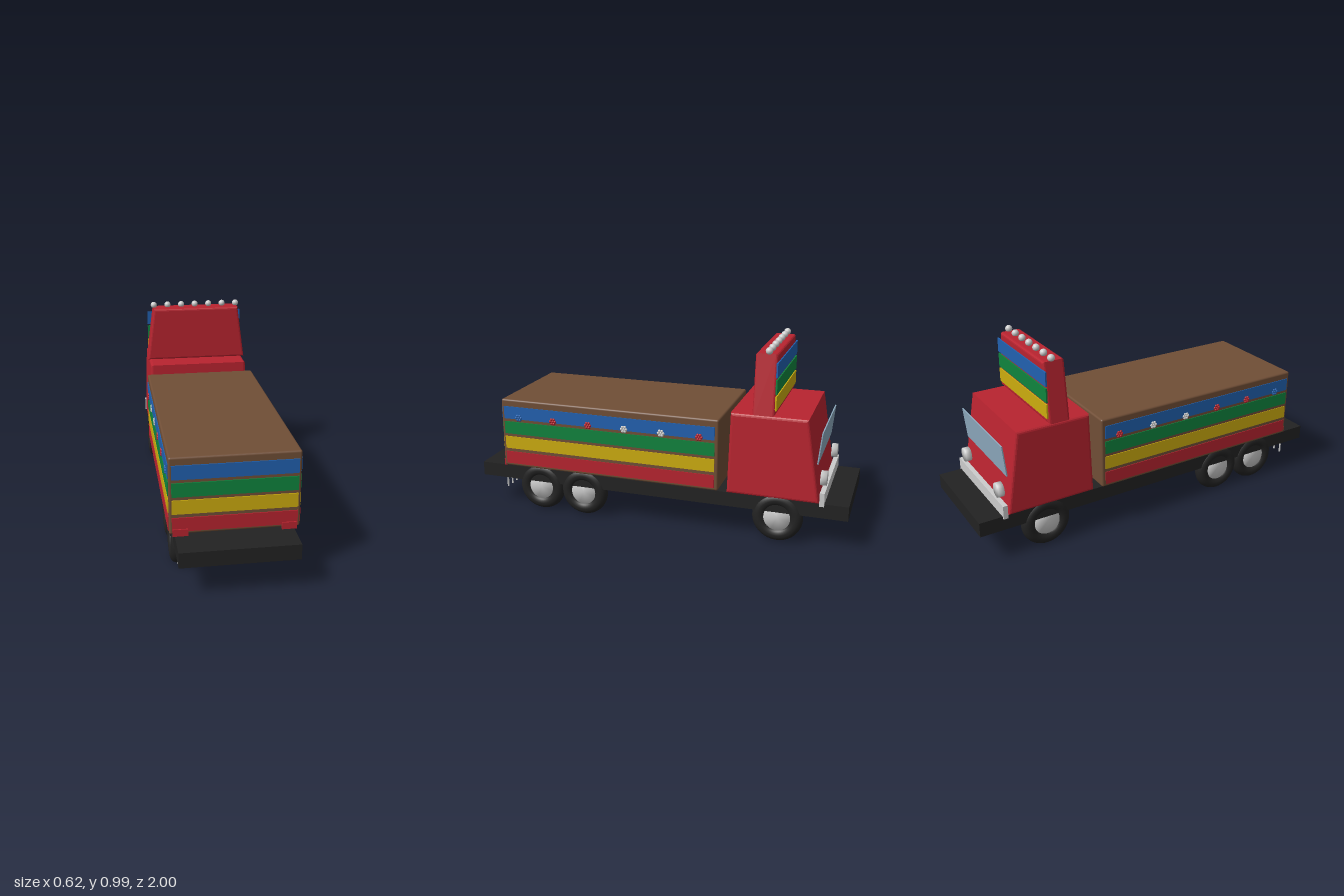
import * as THREE from 'three';
import { RoundedBoxGeometry } from 'three/addons/geometries/RoundedBoxGeometry.js';
import { mergeVertices } from 'three/addons/utils/BufferGeometryUtils.js';

const paint = (name, color, side = THREE.FrontSide) => {
  const m = new THREE.MeshStandardMaterial({ color, side });
  m.name = name;
  return m;
};

// Disc along z whose rim and faces share normals, for a domed sheen
function softDisc(radius, depth) {
  const g = new THREE.CylinderGeometry(radius, radius, depth, 32).rotateX(Math.PI / 2);
  g.deleteAttribute('normal');
  g.deleteAttribute('uv');
  const merged = mergeVertices(g);
  merged.computeVertexNormals();
  return merged;
}

// Bevelled slab from an outline, centred on its depth
function bevelled(points, depth, bevel) {
  const shape = new THREE.Shape(points.map(([x, y]) => new THREE.Vector2(x, y)));
  const g = new THREE.ExtrudeGeometry(shape, {
    depth: depth - 2 * bevel, bevelEnabled: true, bevelThickness: bevel,
    bevelSize: bevel, bevelOffset: -bevel, bevelSegments: 3,
  });
  return g.translate(0, 0, -depth / 2 + bevel);
}

export function createModel() {
  const model = new THREE.Group();
  model.name = 'truck';
  const red = paint('red', 0xb8232f);
  const blue = paint('blue', 0x2161b0);
  const green = paint('green', 0x0f843e);
  const yellow = paint('yellow', 0xcdac0e);
  const brown = paint('brown', 0x704e36);
  const black = paint('black', 0x222222);
  const silver = paint('silver', 0xcccccc);
  const glass = paint('glass', 0x8fabc0, THREE.DoubleSide);

  const add = (name, geometry, material, x = 0, y = 0, z = 0, parent = model) => {
    const mesh = new THREE.Mesh(geometry, material);
    mesh.name = name;
    mesh.position.set(x, y, z);
    parent.add(mesh);
    return mesh;
  };
  const box = (w, h, d) => new THREE.BoxGeometry(w, h, d);

  // Chassis and cargo body
  add('chassis', box(0.55, 0.075, 2), black, 0, 0.197, 0);
  add('cargoBody', new RoundedBoxGeometry(0.6, 0.375, 1.2, 3, 0.01), brown, 0, 0.432, 0.25);

  // Painted stripes on the sides and rear of the cargo body
  [[red, 0.294], [yellow, 0.38], [green, 0.464], [blue, 0.548]].forEach(([mat, y]) => {
    for (const s of [-1, 1]) add('sideStripe', box(0.008, 0.068, 1.165), mat, s * 0.3, y, 0.252);
    add('rearStripe', box(0.575, 0.068, 0.008), mat, 0, y, 0.851);
  });

  // Flower ornaments along both sides
  const flowerColors = [red, silver, silver, red, red, blue];
  const petal = new THREE.SphereGeometry(0.008, 10, 8);
  for (const s of [-1, 1]) {
    flowerColors.forEach((mat, i) => {
      const flower = new THREE.Group();
      flower.name = 'flower';
      flower.position.set(s * 0.302, 0.522, -0.25 + i * 0.2);
      add('flowerCentre', petal, mat, 0, 0, 0, flower);
      for (let k = 0; k < 6; k++) {
        const a = (k * Math.PI) / 3;
        add('flowerPetal', petal, mat, 0, 0.013 * Math.sin(a), 0.013 * Math.cos(a), flower);
      }
      model.add(flower);
    });
  }

  // Cab: side outline swept across, narrowing slightly upwards
  const cab = bevelled([[0.39, 0.235], [0.855, 0.235], [0.785, 0.655], [0.4, 0.655]], 0.57, 0.014);
  cab.rotateY(Math.PI / 2);
  const p = cab.attributes.position;
  for (let i = 0; i < p.count; i++) {
    p.setX(i, p.getX(i) * (1 - 0.035 * (p.getY(i) - 0.235) / 0.42));
  }
  cab.computeVertexNormals();
  add('cab', cab, red);

  // Headboard over the cab with stripes on its leading face
  const board = bevelled([[-0.285, 0.658], [0.285, 0.658], [0.245, 0.957], [-0.245, 0.957]], 0.11, 0.012);
  add('headboard', board, red, 0, 0, -0.565);
  [[yellow, 0.72], [green, 0.801], [blue, 0.883]].forEach(([mat, y]) =>
    add('headboardStripe', box(0.55, 0.072, 0.008), mat, 0, y, -0.622));

  // Row of roof lamps
  const lamp = new THREE.SphereGeometry(0.018, 20, 14);
  for (let i = -3; i <= 3; i++) add('roofLamp', lamp, silver, i * 0.08, 0.97, -0.575);

  // Windscreen, headlights and bumper
  add('windscreen', box(0.5, 0.162, 0.006), glass, 0, 0.508, -0.842).rotation.x = -0.1;
  const headlight = softDisc(0.037, 0.03);
  for (const s of [-1, 1]) add('headlight', headlight, silver, s * 0.21, 0.347, -0.865);
  add('bumper', box(0.575, 0.07, 0.024), silver, 0, 0.26, -0.869);

  // Wheels: torus tyres with silver hubs
  const tyre = new THREE.TorusGeometry(0.094, 0.035, 20, 40);
  const hub = softDisc(0.072, 0.046);
  for (const z of [-0.65, 0.4, 0.65]) {
    for (const s of [-1, 1]) {
      const wheel = new THREE.Group();
      wheel.name = 'wheel';
      wheel.position.set(s * 0.25, 0.13, z);
      wheel.rotation.y = Math.PI / 2;
      add('tyre', tyre, black, 0, 0, 0, wheel);
      add('hub', hub, silver, 0, 0, 0, wheel);
      model.add(wheel);
    }
  }

  // Tail lights and hanging rods at the rear
  for (const s of [-1, 1]) add('tailLight', box(0.07, 0.034, 0.014), red, s * 0.25, 0.256, 0.854);
  const rod = new THREE.CylinderGeometry(0.005, 0.005, 0.065, 10);
  for (let i = 0; i < 12; i++) add('hangingRod', rod, silver, -0.263 + i * 0.0475, 0.133, 0.862);

  return model;
}
